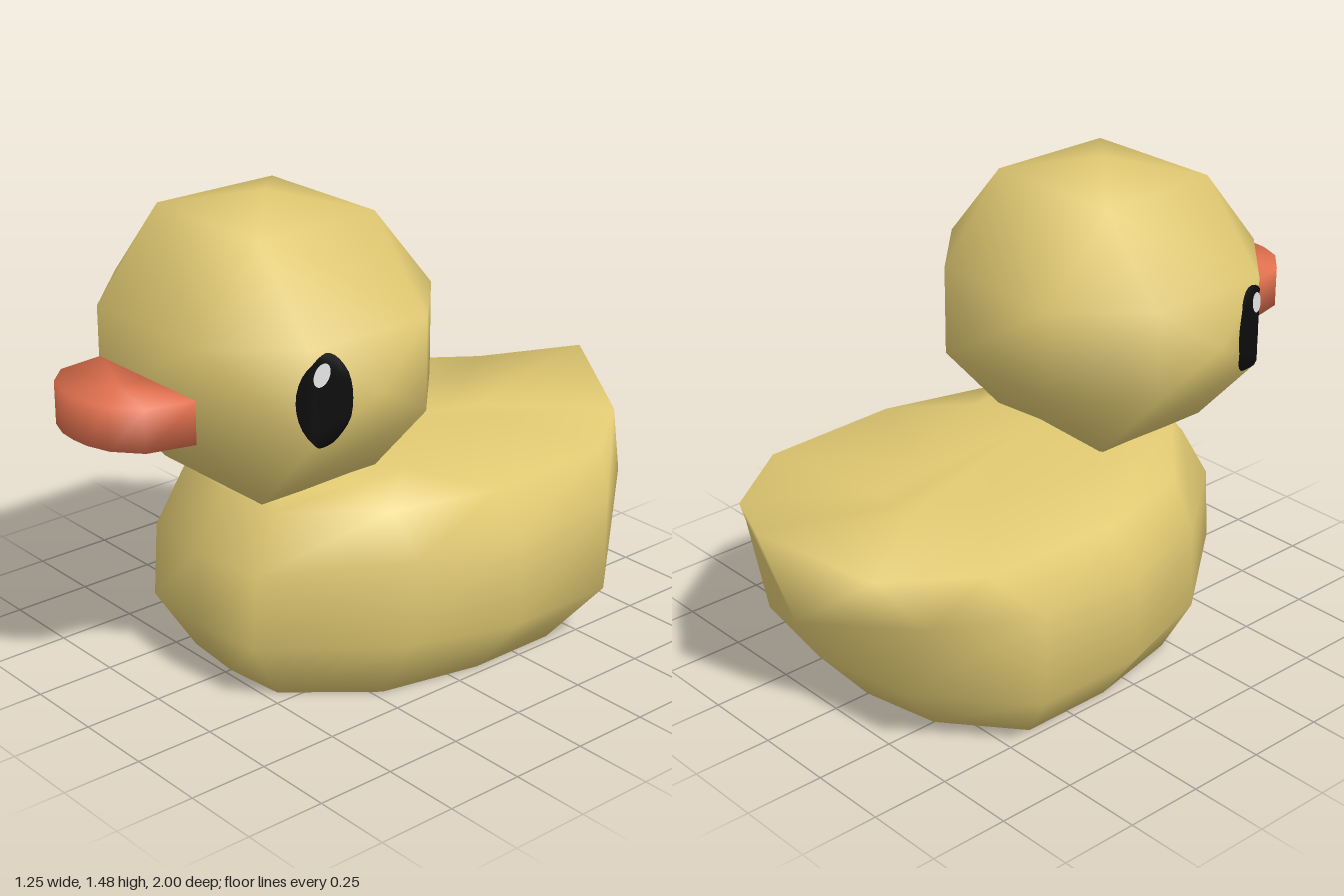
import * as THREE from 'three';
import { mergeVertices } from 'three/addons/utils/BufferGeometryUtils.js';
import { ConvexGeometry } from 'three/addons/geometries/ConvexGeometry.js';

const paint = (name, color) => {
  const m = new THREE.MeshStandardMaterial({ color });
  m.name = name;
  return m;
};

// Closed smooth skin through rings. Each ring lists the [x, y, z] points of its
// left half from front to back; the right half is mirrored.
function loft(halfRings, bottom, top) {
  const rings = halfRings.map((h) => [
    ...h,
    ...h.slice(1, -1).reverse().map(([x, y, z]) => [-x, y, z]),
  ]);
  const n = rings[0].length;
  const points = [...rings.flat(), bottom, top];
  const low = points.length - 2, high = points.length - 1;
  const last = (rings.length - 1) * n;
  const index = [];
  for (let j = 0; j < n; j++) {
    const k = (j + 1) % n;
    for (let i = 0; i < last; i += n) {
      index.push(i + j, i + k, i + n + k, i + j, i + n + k, i + n + j);
    }
    index.push(low, k, j, high, last + j, last + k);
  }
  const geo = new THREE.BufferGeometry();
  geo.setAttribute('position', new THREE.Float32BufferAttribute(points.flat(), 3));
  geo.setIndex(index);
  geo.computeVertexNormals();
  return geo;
}

// Faceted ball with a flat front for the beak and a flat underside for the neck
function headGeometry() {
  const cz = 0.32;
  const p = [[0, 1.48, cz], [0.51, 1.02, cz], [-0.51, 1.02, cz], [0, 1.02, -0.17]];
  for (const sx of [-1, 1]) for (const sz of [-1, 1]) {
    for (const y of [0.89, 1.17]) {
      p.push([sx * 0.23, y, cz + sz * 0.43], [sx * 0.455, y, cz + sz * 0.21]);
    }
    for (const y of [0.645, 1.43]) p.push([sx * 0.23, y, cz + sz * 0.21]);
  }
  let geo = new ConvexGeometry(p.map((v) => new THREE.Vector3(...v)));
  geo.deleteAttribute('normal');
  geo = mergeVertices(geo, 1e-4);
  geo.computeVertexNormals();
  return geo;
}

// Thin oval wrapped onto the side of the head
function ovalOnHead(head, side, y, z, ry, rz, tilt, lift) {
  const geo = new THREE.RingGeometry(0.001, 1, 32, 8);
  const pos = geo.attributes.position;
  const ray = new THREE.Raycaster();
  const c = Math.cos(tilt), s = Math.sin(tilt);
  for (let i = 0; i < pos.count; i++) {
    const a = pos.getX(i) * rz, b = pos.getY(i) * ry;
    const pz = z + a * c + b * s, py = y - a * s + b * c;
    ray.set(new THREE.Vector3(side * 2, py, pz), new THREE.Vector3(-side, 0, 0));
    const hit = ray.intersectObject(head)[0];
    pos.setXYZ(i, hit ? hit.point.x + side * lift : side * 0.43, py, pz);
  }
  geo.computeVertexNormals();
  return geo;
}

export function createModel() {
  const yellow = paint('duckYellow', 0xe0c972);
  const orange = paint('beakOrange', 0xe2714f);
  const black = paint('eyeBlack', 0x0c0c0c);
  const white = paint('eyeHighlight', 0xe6e6e6);
  black.side = white.side = THREE.DoubleSide;

  const group = new THREE.Group();
  const add = (name, geo, mat) => {
    const mesh = new THREE.Mesh(geo, mat);
    mesh.name = name;
    group.add(mesh);
    return mesh;
  };

  // Body: base, belly, flank, rim with raised tail tip, then shoulders
  add('body', loft([
    [[0, 0, 0.48], [0.2, 0, 0.46], [0.4, 0, 0.22], [0.47, 0, -0.1],
      [0.47, 0, -0.4], [0.25, 0, -0.58], [0, 0, -0.63]],
    [[0, 0.2, 0.605], [0.24, 0.2, 0.58], [0.52, 0.2, 0.22], [0.625, 0.2, -0.12],
      [0.625, 0.2, -0.48], [0.33, 0.2, -0.74], [0, 0.2, -0.8]],
    [[0, 0.43, 0.59], [0.24, 0.43, 0.565], [0.53, 0.47, 0.2], [0.625, 0.49, -0.12],
      [0.625, 0.49, -0.48], [0.43, 0.46, -0.74], [0, 0.35, -0.88]],
    [[0, 0.6, 0.495], [0.22, 0.6, 0.47], [0.43, 0.6, 0.22], [0.52, 0.6, -0.12],
      [0.5, 0.6, -0.58], [0.31, 0.6, -0.84], [0, 0.69, -1]],
    [[0, 0.645, 0.46], [0.2, 0.645, 0.44], [0.3, 0.645, 0.25], [0.29, 0.643, 0.05],
      [0.17, 0.615, -0.32], [0.08, 0.602, -0.5], [0, 0.6, -0.53]],
  ], [0, 0, -0.08], [0, 0.69, 0.07]), yellow);

  const head = add('head', headGeometry(), yellow);

  // Beak: flat slab with a rounded tip
  const beakRing = (yBack, yTip) => [[0, 1], [0.06, 0.995], [0.13, 0.97], [0.2, 0.9], [0.228, 0.74], [0, 0.74]]
    .map(([x, z]) => [x, THREE.MathUtils.mapLinear(z, 0.74, 1, yBack, yTip), z]);
  add('beak', loft([beakRing(0.888, 0.9), beakRing(1.018, 1.028)],
    [0, 0.893, 0.85], [0, 1.022, 0.85]), orange);

  // Eyes with a small highlight
  for (const [side, word] of [[1, 'left'], [-1, 'right']]) {
    add(word + 'Eye', ovalOnHead(head, side, 1.02, 0.488, 0.14, 0.075, 0, 0.005), black);
    add(word + 'EyeHighlight', ovalOnHead(head, side, 1.102, 0.506, 0.035, 0.023, -0.35, 0.009), white);
  }
  return group;
}
